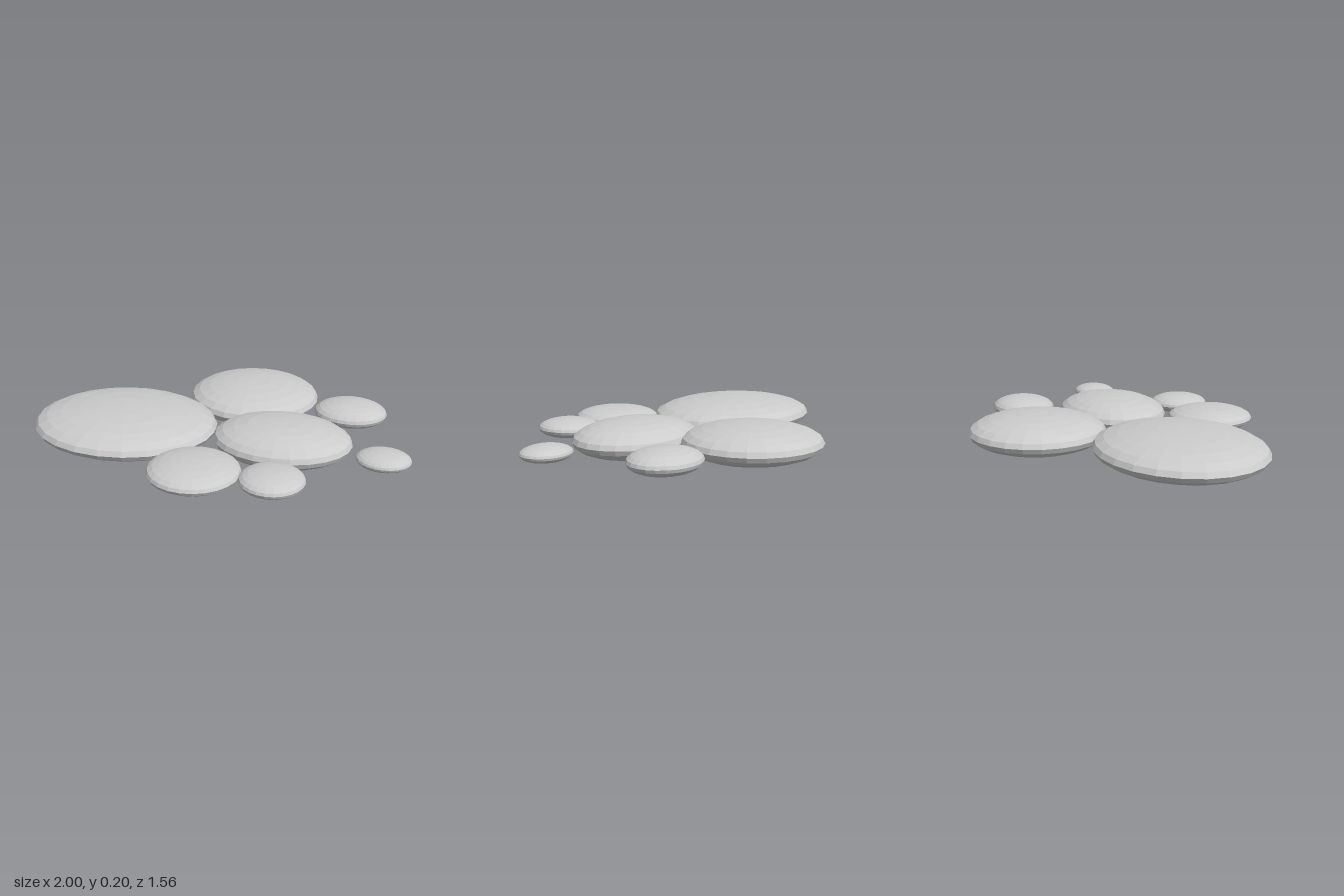
import * as THREE from 'three';

// name, centre x, centre z, radius x, half height, radius z
const PEBBLES = [
  ['largeLeftStone', -0.508, 0.105, 0.492, 0.1, 0.42],
  ['backStone', 0.073, -0.428, 0.362, 0.098, 0.358],
  ['middleStone', 0.34, 0.105, 0.36, 0.098, 0.285],
  ['backRightStone', 0.635, -0.331, 0.197, 0.063, 0.171],
  ['frontStone', -0.003, 0.548, 0.229, 0.061, 0.23],
  ['smallFrontStone', 0.378, 0.548, 0.16, 0.052, 0.163],
  ['outlyingStone', 0.863, 0.203, 0.137, 0.042, 0.118],
];

export function createModel() {
  const group = new THREE.Group();
  group.name = 'steppingStones';
  const material = new THREE.MeshStandardMaterial({ color: 0xcccccc, flatShading: true });

  // Flattened faceted spheres sharing one mid-height plane
  for (const [name, x, z, rx, ry, rz] of PEBBLES) {
    const stone = new THREE.Mesh(new THREE.SphereGeometry(1, 24, 12), material);
    stone.name = name;
    stone.scale.set(rx, ry, rz);
    stone.position.set(x, 0.1, z);
    group.add(stone);
  }
  return group;
}
